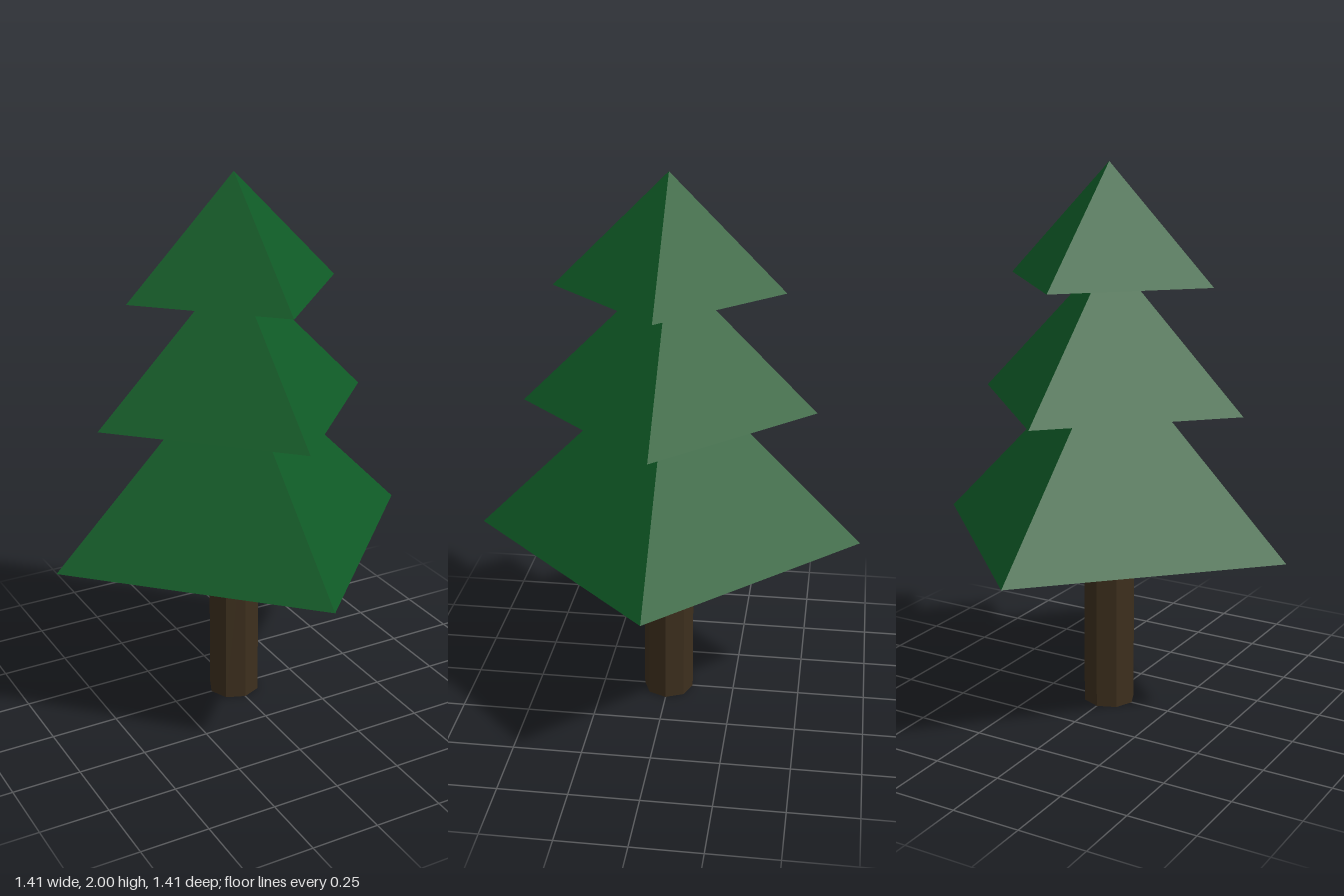
import * as THREE from 'three';

export function createModel() {
  const tree = new THREE.Group();
  tree.name = 'pineTree';

  const leaf = new THREE.MeshStandardMaterial({ color: 0x0f5a26, flatShading: true });
  const bark = new THREE.MeshStandardMaterial({ color: 0x3d2f1d, flatShading: true });

  // Octagonal trunk, its top hidden inside the lowest tier
  const trunkHeight = 0.75;
  const trunk = new THREE.Mesh(new THREE.CylinderGeometry(0.097, 0.097, trunkHeight, 8), bark);
  trunk.name = 'trunk';
  trunk.position.y = trunkHeight / 2;
  trunk.scale.z = 0.96;
  tree.add(trunk);

  // Four-sided foliage tiers, corners on the axes, as tall as their radius
  const tiers = [
    { name: 'lowerFoliage', base: 0.655, size: 0.705 },
    { name: 'middleFoliage', base: 1.155, size: 0.53 },
    { name: 'upperFoliage', base: 1.59, size: 0.41 },
  ];
  for (const { name, base, size } of tiers) {
    const tier = new THREE.Mesh(new THREE.ConeGeometry(size, size, 4), leaf);
    tier.name = name;
    tier.position.y = base + size / 2;
    tree.add(tier);
  }

  return tree;
}
